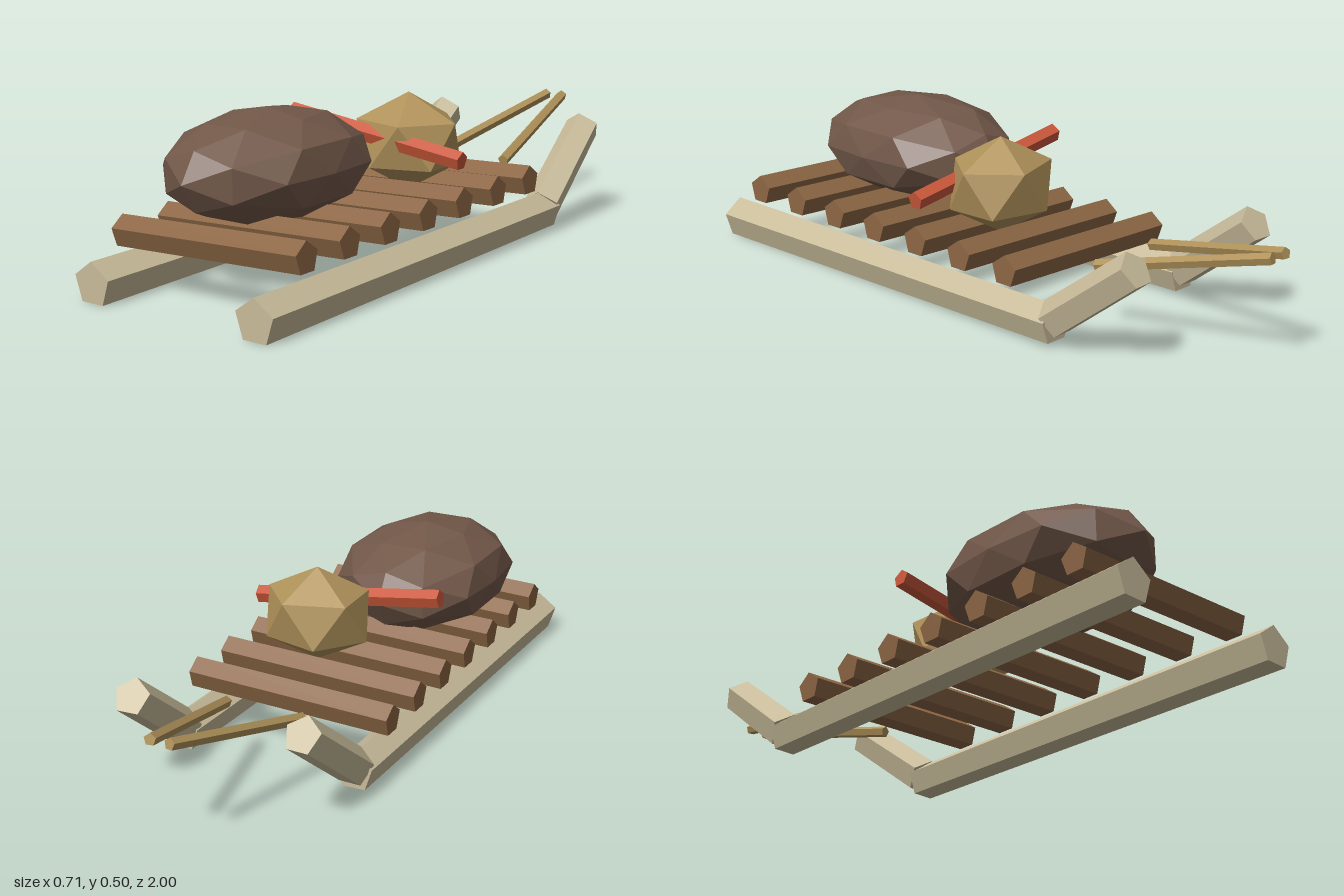
import * as THREE from 'three';

const mat = (name, color) => {
  const m = new THREE.MeshStandardMaterial({ color, flatShading: true });
  m.name = name;
  return m;
};

export function createModel() {
  const sled = new THREE.Group();
  sled.name = 'sled';
  const paleWood = mat('paleWood', 0xc8bb9a);
  const brownWood = mat('brownWood', 0x8b6544);
  const darkHide = mat('darkHide', 0x725849);
  const tan = mat('tan', 0xb0925a);
  const red = mat('red', 0xc9573a);

  const add = (name, geometry, material) => {
    const mesh = new THREE.Mesh(geometry, material);
    mesh.name = name;
    sled.add(mesh);
    return mesh;
  };

  // Five-sided bar from a to b with one ridge facing up
  const bar = (name, a, b, r0, r1, material) => {
    const start = new THREE.Vector3(...a), end = new THREE.Vector3(...b);
    const dir = end.clone().sub(start);
    const length = dir.length();
    dir.normalize();
    const up = new THREE.Vector3(0, 1, 0).addScaledVector(dir, -dir.y).normalize();
    const side = new THREE.Vector3().crossVectors(dir, up);
    const mesh = add(name, new THREE.CylinderGeometry(r1, r0, length, 5), material);
    mesh.quaternion.setFromRotationMatrix(new THREE.Matrix4().makeBasis(side, dir, up));
    mesh.position.copy(start).add(end).multiplyScalar(0.5);
    return mesh;
  };

  // Runners, upturned tips and pulling poles, mirrored
  for (const [label, s] of [['left', 1], ['right', -1]]) {
    bar(label + 'Runner', [s * 0.29, 0.0535, 1], [s * 0.288, 0.063, -0.45], 0.066, 0.06, paleWood);
    bar(label + 'RunnerTip', [s * 0.286, 0.077, -0.44], [s * 0.271, 0.292, -0.722], 0.06, 0.057, paleWood);
    bar(label + 'PullPole', [s * 0.125, 0.2, -0.455], [s * 0.03, 0.33, -0.995], 0.018, 0.018, tan);
  }

  // Cross slats, all leaning slightly
  for (let i = 0; i < 7; i++) {
    const z = 0.832 - i * 0.186;
    bar('slat' + (i + 1), [-0.33, 0.167, z], [0.33, 0.191, z], 0.048, 0.048, brownWood);
  }

  // Large faceted bundle with slightly fuller flanks
  const bundleShape = new THREE.IcosahedronGeometry(1, 1);
  const p = bundleShape.attributes.position;
  for (let i = 0; i < p.count; i++) {
    const x = p.getX(i);
    if (Math.abs(x) > 0.75 && Math.abs(x) < 0.95) p.setX(i, x * 1.1);
  }
  bundleShape.scale(0.244, 0.165, 0.365);
  add('largeBundle', bundleShape, darkHide).position.set(-0.075, 0.335, 0.5);

  // Small faceted bundle, standing on a corner and slightly squashed
  const sack = new THREE.IcosahedronGeometry(0.18, 0);
  sack.rotateZ(Math.atan(2 / (1 + Math.sqrt(5))));
  sack.rotateY(Math.PI + 0.04);
  sack.scale(1.03, 0.84, 0.92);
  add('smallBundle', sack, tan).position.set(0.06, 0.333, -0.01);

  // Red rod lying across the load
  bar('redRod', [-0.3, 0.403, 0.105], [0.322, 0.317, 0.092], 0.029, 0.029, red);

  return sled;
}
